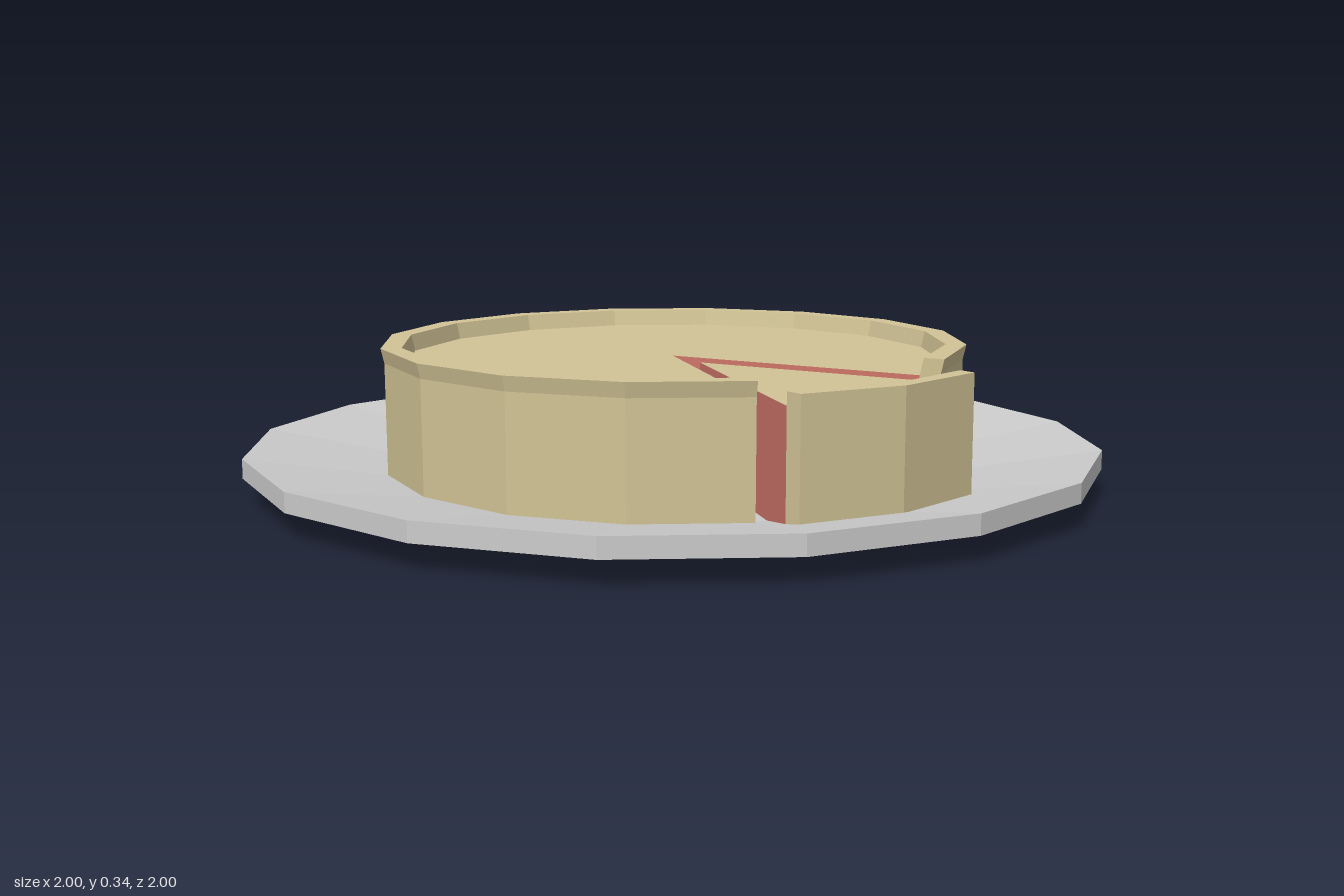
import * as THREE from 'three';

const SIDES = 16;
const STEP = (Math.PI * 2) / SIDES;
const FLOOR = 0.045;  // plate surface the pie rests on
const FILL_TOP = 0.303;

const mat = (color) =>
  new THREE.MeshStandardMaterial({ color, flatShading: true, side: THREE.DoubleSide });

const vec = (list) => list.map(([x, y]) => new THREE.Vector2(x, y));

function addMesh(parent, name, geometry, material) {
  const mesh = new THREE.Mesh(geometry, material);
  mesh.name = name;
  parent.add(mesh);
  return mesh;
}

// Upright prism from a plan outline of [x, z] points, between two heights
function prism(outline, bottom, top) {
  const geometry = new THREE.ExtrudeGeometry(new THREE.Shape(vec(outline)), {
    depth: top - bottom,
    bevelEnabled: false,
  });
  return geometry.rotateX(-Math.PI / 2).translate(0, bottom, 0);
}

export function createModel() {
  const model = new THREE.Group();
  const grey = mat(0xcccccc);
  const pastry = mat(0xd2c496);
  const fruit = mat(0xd0756a);

  // Shallow dished plate
  const plateProfile = vec([
    [0, 0], [0.65, 0], [1, 0.057], [1, 0.102], [0.65, FLOOR], [0, FLOOR],
  ]);
  addMesh(model, 'plate', new THREE.LatheGeometry(plateProfile, SIDES), grey);

  // Pie with one sixteenth-pair missing towards +x
  const pie = new THREE.Group();
  pie.name = 'pie';
  model.add(pie);

  const crustProfile = vec([
    [0.675, FLOOR], [0.677, 0.308], [0.685, 0.342],
    [0.637, 0.342], [0.628, FILL_TOP], [0.628, FLOOR],
  ]);
  const ring = [...crustProfile, crustProfile[0].clone()];
  addMesh(pie, 'crust',
    new THREE.LatheGeometry(ring, SIDES - 2, Math.PI / 2 + STEP, Math.PI * 2 - 2 * STEP), pastry);

  // Cut ends of the crust
  for (const side of [-1, 1]) {
    const end = addMesh(pie, 'crustEnd',
      new THREE.ShapeGeometry(new THREE.Shape(crustProfile)), pastry);
    end.rotation.y = side * STEP;
  }

  // Filling: pastry lid on top, fruit on the cut faces
  const fillOutline = [[0, 0]];
  for (let i = 1; i < SIDES; i++) {
    fillOutline.push([0.63 * Math.cos(i * STEP), 0.63 * Math.sin(i * STEP)]);
  }
  addMesh(pie, 'filling', prism(fillOutline, FLOOR, FILL_TOP), [pastry, fruit]);

  // Slice pulled out of the gap
  const slice = new THREE.Group();
  slice.name = 'slice';
  slice.position.set(0.13, 0, 0.02);
  model.add(slice);
  addMesh(slice, 'sliceFilling',
    prism([[0, 0], [0.59, -0.241], [0.64, 0], [0.59, 0.241]], FLOOR, FILL_TOP), [pastry, fruit]);
  addMesh(slice, 'sliceCrust',
    prism([[0.59, -0.241], [0.632, -0.241], [0.676, 0], [0.632, 0.241], [0.59, 0.241], [0.64, 0]],
      FLOOR, 0.332), pastry);

  return model;
}
